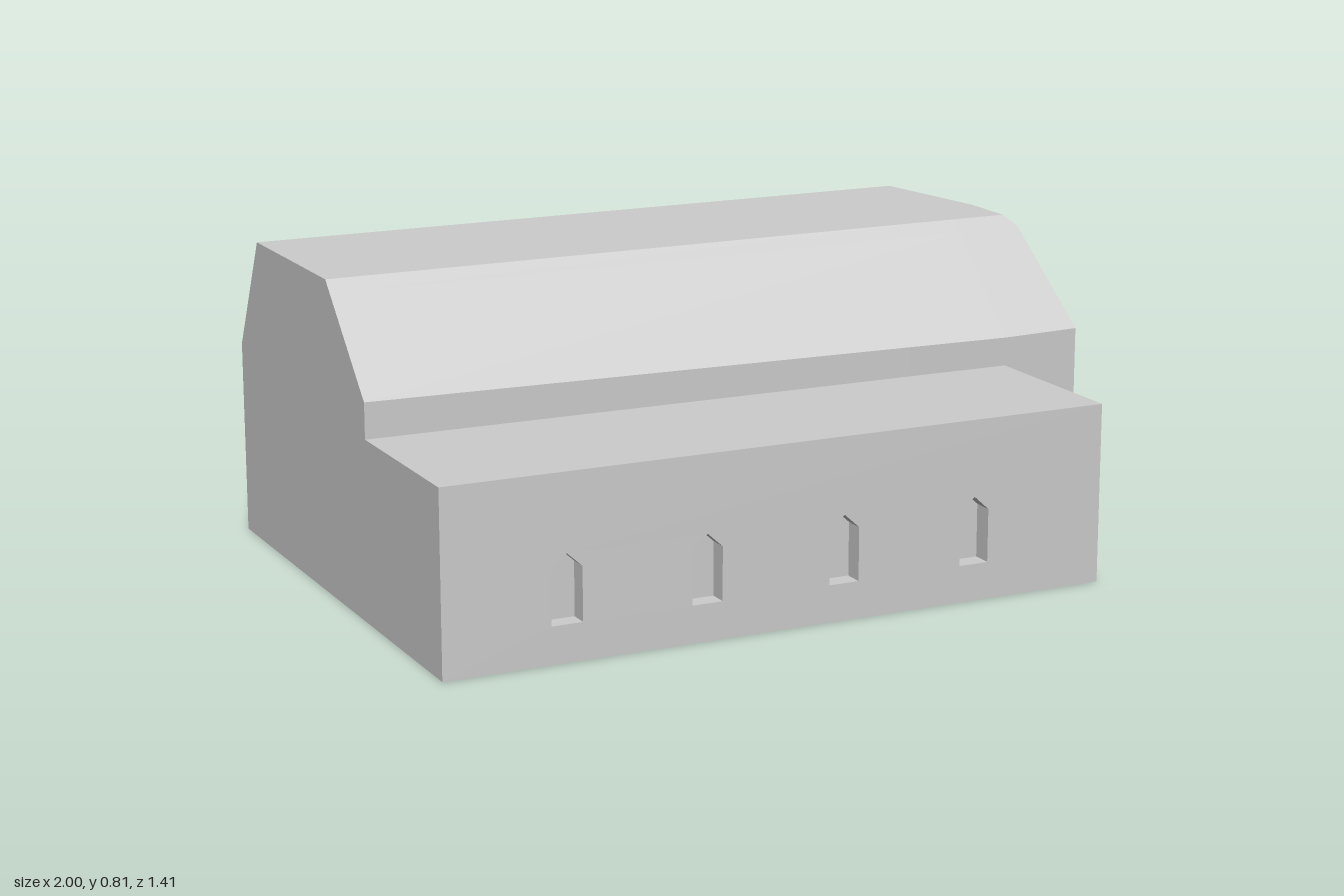
import * as THREE from 'three';
import { toCreasedNormals } from 'three/addons/utils/BufferGeometryUtils.js';

const stone = new THREE.MeshStandardMaterial({ color: 0xcccccc });
stone.name = 'grey stone';

// Hall: cross-sections joined along x, with a skewed right end
function hallGeometry() {
  // each point is [x, y, z], from the front foot over the roof to the back foot
  const section = (xs, eaveY, frontZ, backZ) => [
    [xs[0], 0, frontZ], [xs[1], eaveY, frontZ], [xs[2], 0.78, 0], [xs[3], 0.81, -0.03],
    [xs[4], 0.81, -0.19], [xs[5], 0.81, -0.55], [xs[6], 0.51, backZ], [xs[7], 0, backZ],
  ];
  const rings = [
    section(Array(8).fill(-1), 0.557, 0.222, -0.705),
    section(Array(8).fill(0.78), 0.54, 0.24, -0.702),
    section([1, 1, 0.96, 0.93, 0.932, 0.874, 0.85, 0.85], 0.543, 0.236, -0.7),
  ];
  const pos = [];
  const tri = (a, b, c) => pos.push(...a, ...b, ...c);
  for (let r = 0; r < rings.length - 1; r++) {
    const a = rings[r], b = rings[r + 1];
    for (let i = 0; i < 8; i++) {
      const j = (i + 1) % 8;
      tri(a[i], b[i], b[j]);
      tri(a[i], b[j], a[j]);
    }
  }
  // end walls, the right one with a small clipped roof corner
  const left = rings[0], end = rings[2];
  for (let i = 1; i < 7; i++) tri(left[0], left[i], left[i + 1]);
  const right = end.filter((p, i) => i !== 3);
  for (let i = 1; i < 6; i++) tri(right[0], right[i + 1], right[i]);
  tri(end[4], end[3], end[2]);

  const g = new THREE.BufferGeometry();
  g.setAttribute('position', new THREE.Float32BufferAttribute(pos, 3));
  return toCreasedNormals(g, THREE.MathUtils.degToRad(32));
}

// Pointed window outline centred on x
function windowPoints(x) {
  return [[-0.04, 0.095], [0.04, 0.095], [0.04, 0.232], [0, 0.268], [-0.04, 0.232]]
    .map(([dx, y]) => new THREE.Vector2(x + dx, y));
}

export function createModel() {
  const model = new THREE.Group();
  model.name = 'building';
  const add = (name, geometry) => {
    const mesh = new THREE.Mesh(geometry, stone);
    mesh.name = name;
    model.add(mesh);
    return mesh;
  };

  add('hall', hallGeometry());

  // Side aisle with window niches
  const windowXs = [-0.685, -0.32, 0.05, 0.415];
  const front = new THREE.Shape([[-1, 0], [0.78, 0], [0.78, 0.465], [-1, 0.465]]
    .map(([x, y]) => new THREE.Vector2(x, y)));
  windowXs.forEach((x) => front.holes.push(new THREE.Path(windowPoints(x))));
  const aisle = new THREE.ExtrudeGeometry(front, { depth: 0.5, bevelEnabled: false });
  aisle.translate(0, 0, 0.202);
  // the front wall runs very slightly askew
  const p = aisle.attributes.position;
  for (let i = 0; i < p.count; i++) {
    if (p.getZ(i) > 0.5) p.setZ(i, 0.701 + 0.004 * p.getX(i));
  }
  aisle.computeVertexNormals();
  add('sideAisle', aisle);

  // Backs of the niches
  windowXs.forEach((x) => {
    const pane = add('windowNicheBack', new THREE.ShapeGeometry(new THREE.Shape(windowPoints(x))));
    pane.position.z = 0.65;
  });

  return model;
}
